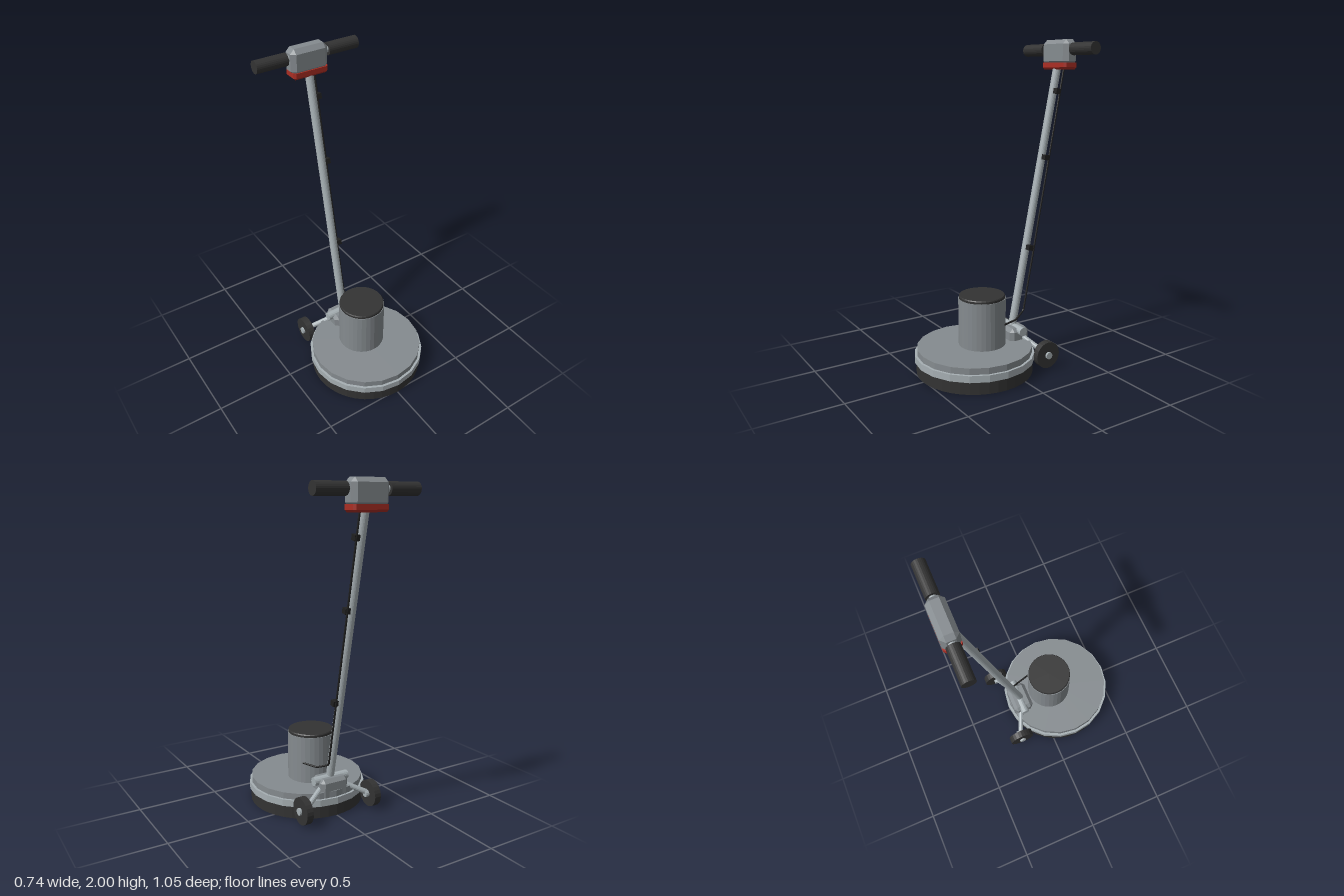
import * as THREE from 'three';
import { ConvexGeometry } from 'three/addons/geometries/ConvexGeometry.js';

export function createModel() {
  const root = new THREE.Group();
  root.name = 'floorPolisher';

  const mat = (name, color) => {
    const m = new THREE.MeshStandardMaterial({ color, flatShading: true });
    m.name = name;
    return m;
  };
  const body = mat('greyPaint', 0x858b8f);
  const metal = mat('lightMetal', 0xa6afb3);
  const rubber = mat('darkRubber', 0x333333);
  const pad = mat('padGrey', 0x484848);
  const black = mat('blackPlastic', 0x202020);
  const red = mat('redPlastic', 0xaa2e24);

  const add = (name, geometry, material, x = 0, y = 0, z = 0) => {
    const mesh = new THREE.Mesh(geometry, material);
    mesh.name = name;
    mesh.position.set(x, y, z);
    root.add(mesh);
    return mesh;
  };

  // Cylinder running between two points
  const rod = (name, a, b, radius, material, sides = 16) => {
    const p = new THREE.Vector3(...a), q = new THREE.Vector3(...b);
    const dir = q.clone().sub(p);
    const mesh = add(name, new THREE.CylinderGeometry(radius, radius, dir.length(), sides), material);
    mesh.position.copy(p).add(q).multiplyScalar(0.5);
    mesh.quaternion.setFromUnitVectors(new THREE.Vector3(0, 1, 0), dir.normalize());
    return mesh;
  };

  // Box with its edges and corners cut off by c, and its top edges by topCut
  const chamferBox = (w, h, d, c, topCut = c) => {
    const pts = [];
    for (const i of [-1, 1]) for (const j of [-1, 1]) for (const k of [-1, 1]) {
      const x = i * w / 2, y = j * h / 2, z = k * d / 2;
      const sideY = y - j * (j > 0 ? topCut : c);
      pts.push(new THREE.Vector3(x, sideY, z - k * c));
      pts.push(new THREE.Vector3(x - i * c, sideY, z));
      if (sideY !== y) pts.push(new THREE.Vector3(x - i * c, y, z - k * c));
    }
    return new ConvexGeometry(pts);
  };

  const lathe = (profile, sides) =>
    new THREE.LatheGeometry(profile.map(([r, y]) => new THREE.Vector2(r, y)), sides);

  // Round deck: brush, trim ring and cover
  const deckZ = 0.153;
  add('brush', lathe([[0.26, 0.06], [0.26, 0], [0.359, 0], [0.359, 0.072], [0.3, 0.08]], 40),
    rubber, 0, 0, deckZ);
  add('padHolder', new THREE.CylinderGeometry(0.262, 0.262, 0.04, 40), pad, 0, 0.064, deckZ);
  add('trimRing', new THREE.CylinderGeometry(0.37, 0.37, 0.042, 20), metal, 0, 0.098, deckZ);
  add('deckCover', new THREE.CylinderGeometry(0.355, 0.355, 0.084, 20), body, 0, 0.116, deckZ);

  // Motor
  const motorZ = 0.098;
  add('motorHousing', new THREE.CylinderGeometry(0.146, 0.146, 0.3, 32), body, 0, 0.303, motorZ);
  add('motorCap', lathe([[0.142, 0.45], [0.142, 0.466], [0.138, 0.472], [0, 0.472]], 32), rubber, 0, 0, motorZ);

  // Handle mount
  add('mountBlock', chamferBox(0.19, 0.135, 0.135, 0.022), body, 0, 0.165, -0.127);
  rod('pivotBar', [-0.12, 0.215, -0.13], [0.12, 0.215, -0.13], 0.027, metal);

  // Transport wheels
  for (const s of [1, -1]) {
    const side = s > 0 ? 'left' : 'right';
    rod(side + 'WheelArm', [s * 0.08, 0.172, -0.15], [s * 0.225, 0.098, -0.216], 0.017, metal, 12);
    rod(side + 'Wheel', [s * 0.221, 0.094, -0.217], [s * 0.264, 0.094, -0.217], 0.083, rubber, 24);
    rod(side + 'Axle', [s * 0.2, 0.094, -0.217], [s * 0.277, 0.094, -0.217], 0.022, metal, 12);
  }

  // Sloping pole
  const poleAt = y => -0.126 - 0.204 * (y - 0.22);
  rod('pole', [0, 0.2, poleAt(0.2)], [0, 1.85, poleAt(1.85)], 0.025, metal, 20);

  // Control head standing on a flat-topped red base
  const headZ = -0.473;
  add('controlHead', chamferBox(0.242, 0.155, 0.102, 0.026), body, 0, 1.9225, headZ);
  add('headBase', chamferBox(0.23, 0.042, 0.102, 0.013, 0), red, 0, 1.842, headZ);
  for (const s of [1, -1]) {
    const side = s > 0 ? 'left' : 'right';
    rod(side + 'GripStub', [s * 0.1, 1.942, headZ], [s * 0.15, 1.942, headZ], 0.021, metal);
    rod(side + 'Grip', [s * 0.135, 1.942, headZ], [s * 0.334, 1.942, headZ], 0.038, rubber, 24);
  }

  // Cable down the back of the pole to the motor
  const cablePoints = [
    [0.045, 1.84, -0.475], [0.045, 0.335, -0.184], [0.047, 0.322, -0.175],
    [0.08, 0.291, -0.1], [0.11, 0.288, 0.01],
  ].map(p => new THREE.Vector3(...p));
  const cablePath = new THREE.CurvePath();
  for (let i = 1; i < cablePoints.length; i++) {
    cablePath.add(new THREE.LineCurve3(cablePoints[i - 1], cablePoints[i]));
  }
  add('cable', new THREE.TubeGeometry(cablePath, 120, 0.006, 8), black);

  // Cable clips
  for (const y of [0.727, 1.287, 1.69]) {
    const clip = add('cableClip', new THREE.BoxGeometry(0.034, 0.033, 0.034), black, 0.038, y, poleAt(y) - 0.003);
    clip.rotation.x = -Math.atan(0.204);
  }

  return root;
}
